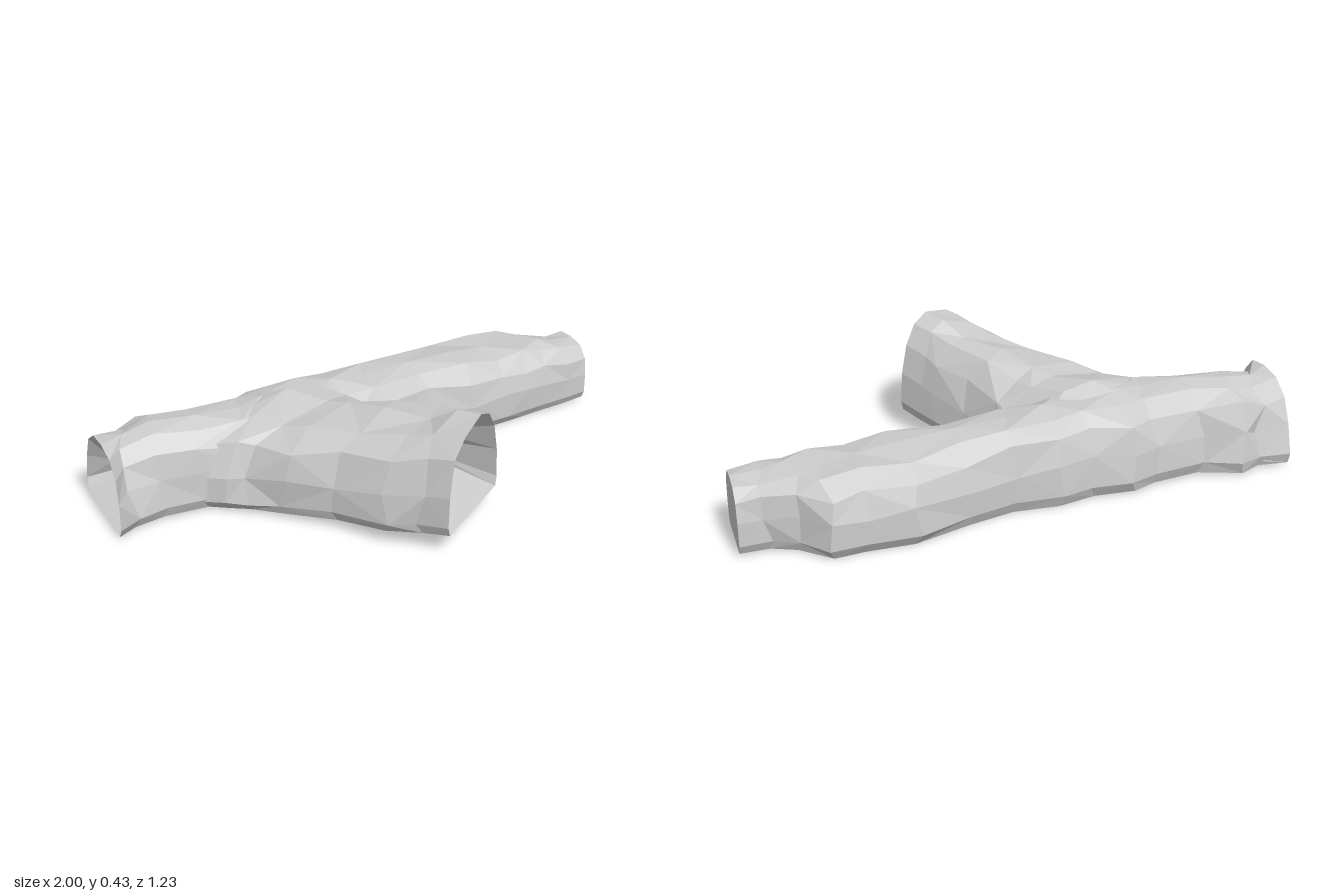
import * as THREE from 'three';

// Log cross-sections: u runs across the width (-1..1), v runs bottom to top (0..1)
const TRUNK_PROFILE = [
  [-0.88, 0], [0, 0], [0.88, 0], [1, 0.13], [1, 0.47], [0.92, 0.76],
  [0.6, 0.95], [0.05, 1], [-0.52, 0.97], [-0.88, 0.8], [-0.99, 0.5], [-1, 0.14],
];
const BRANCH_PROFILE = [
  [-0.95, 0], [0, 0], [0.93, 0], [1, 0.1], [0.97, 0.42], [0.82, 0.78],
  [0.42, 0.92], [-0.2, 1], [-0.55, 0.92], [-0.8, 0.72], [-0.95, 0.42], [-1, 0.1],
];

// Repeatable bark roughness in -1..1
function noise(i, j, k) {
  const s = Math.sin(i * 12.99 + j * 78.23 + k * 37.72) * 43758.55;
  return 2 * (s - Math.floor(s)) - 1;
}

// Each section: edge A (x, z), edge B (x, z), bottom y, top y, inward slopes of sides A and B
function makeRing([ax, az, bx, bz, y0, y1, slopeA = 0, slopeB = 0], profile, index, rough, seed) {
  const length = Math.hypot(bx - ax, bz - az);
  const dir = new THREE.Vector3(bz - az, 0, ax - bx).divideScalar(length);
  return profile.map(([u, v], j) => {
    const wide = Math.abs(u) > 0.93;
    const du = v > 0 && !wide ? noise(index, j, seed) * 0.06 * rough : 0;
    const dv = v > 0.3 ? (noise(index, j, seed + 3) - 0.5) * 0.045 * rough : 0;
    const t = slopeA * v + (u + du + 1) / 2 * (1 - (slopeA + slopeB) * v);
    const p = new THREE.Vector3(
      ax + (bx - ax) * t, y0 + (y1 - y0) * (v + dv), az + (bz - az) * t);
    return p.addScaledVector(dir, v > 0 ? noise(index, j, seed + 7) * 0.025 * rough : 0);
  });
}

function center(ring) {
  return ring.reduce((sum, p) => sum.add(p), new THREE.Vector3()).divideScalar(ring.length);
}

// Skin the sections and close both ends; a depth hollows the end out
function makeLog(profile, sections, startDepth, endDepth, seed) {
  const last = sections.length - 1;
  const rings = sections.map((s, i) =>
    makeRing(s, profile, i, i === 0 || i === last ? 0 : 1, seed));
  const points = [];
  const tri = (a, b, c) => [a, b, c].forEach((p) => points.push(p.x, p.y, p.z));
  const n = profile.length;

  const bridge = (r, q, parity) => {
    for (let j = 0; j < n; j++) {
      const k = (j + 1) % n;
      if ((parity + j) % 2) {
        tri(r[j], q[j], r[k]);
        tri(r[k], q[j], q[k]);
      } else {
        tri(r[j], q[j], q[k]);
        tri(r[j], q[k], r[k]);
      }
    }
  };
  for (let i = 0; i < last; i++) bridge(rings[i], rings[i + 1], i);

  const cap = (ring, inner, depth, isStart) => {
    const mid = center(ring);
    const inward = center(inner).sub(mid).setY(0).normalize();
    let rim = ring;
    if (depth > 0) {
      // The floor of the hollow rises and its roof slopes down to the back wall
      const floor = ring[1].y;
      rim = ring.map((p, j) => {
        const q = p.clone().lerp(mid, 0.16 + 0.06 * noise(j, 2, seed));
        q.y = floor + depth * 0.22 + (p.y - floor) * 0.5;
        return q.addScaledVector(inward, depth);
      });
      if (isStart) bridge(rim, ring, 0);
      else bridge(ring, rim, 0);
    }
    const hub = center(rim);
    for (let j = 0; j < n; j++) {
      const k = (j + 1) % n;
      if (isStart) tri(hub, rim[j], rim[k]);
      else tri(hub, rim[k], rim[j]);
    }
  };
  cap(rings[0], rings[1], startDepth, true);
  cap(rings[last], rings[last - 1], endDepth, false);

  const geometry = new THREE.BufferGeometry();
  geometry.setAttribute('position', new THREE.Float32BufferAttribute(points, 3));
  geometry.computeVertexNormals();
  return geometry;
}

export function createModel() {
  const group = new THREE.Group();
  group.name = 'forkedLog';
  const wood = new THREE.MeshStandardMaterial({ color: 0xcccccc, flatShading: true });
  const add = (name, geometry) => {
    const mesh = new THREE.Mesh(geometry, wood);
    mesh.name = name;
    group.add(mesh);
  };

  // Main trunk, lying flat from -x to +x, flared at its hollow end
  add('trunk', makeLog(TRUNK_PROFILE, [
    [-1, -0.25, -0.95, 0.16, 0.01, 0.30, 0.2, 0],
    [-0.88, -0.25, -0.89, 0.11, 0.01, 0.30, 0.15, 0.15],
    [-0.81, -0.30, -0.78, 0.075, 0.01, 0.325, 0.18, 0.12],
    [-0.65, -0.26, -0.64, 0.06, 0.01, 0.325, 0.1, 0.05],
    [-0.48, -0.31, -0.46, 0.05, 0.01, 0.31, 0.08, 0],
    [-0.40, -0.36, -0.32, 0.03, 0.01, 0.315, 0.08, 0],
    [-0.25, -0.36, -0.18, 0, 0.005, 0.315, 0.05, 0],
    [-0.12, -0.40, -0.05, -0.05, 0, 0.31, 0.05, 0],
    [0.05, -0.41, 0.08, -0.10, 0, 0.305],
    [0.20, -0.47, 0.28, -0.15, 0, 0.29],
    [0.40, -0.57, 0.46, -0.16, 0, 0.28],
    [0.57, -0.59, 0.62, -0.195, 0, 0.275],
    [0.67, -0.615, 0.72, -0.22, 0, 0.27],
    [0.78, -0.54, 0.82, -0.245, 0.005, 0.255],
    [0.87, -0.51, 0.91, -0.27, 0.005, 0.245],
    [0.97, -0.535, 1, -0.29, 0.01, 0.235],
  ], 0.11, 0, 1));

  // Side branch, rising slightly toward its hollow front end
  add('branch', makeLog(BRANCH_PROFILE, [
    [-0.22, -0.32, -0.68, 0.03, 0.01, 0.30],
    [-0.05, -0.22, -0.58, 0.08, 0.01, 0.355],
    [0.06, -0.11, -0.51, 0.11, 0.01, 0.33],
    [0.08, -0.03, -0.40, 0.20, 0.02, 0.34],
    [0.15, 0.08, -0.25, 0.32, 0.035, 0.37],
    [0.24, 0.20, -0.13, 0.47, 0.055, 0.39, 0, 0.05],
    [0.29, 0.27, -0.02, 0.54, 0.065, 0.415],
    [0.34, 0.34, 0.05, 0.61, 0.08, 0.43],
  ], 0, 0.25, 5));

  return group;
}
